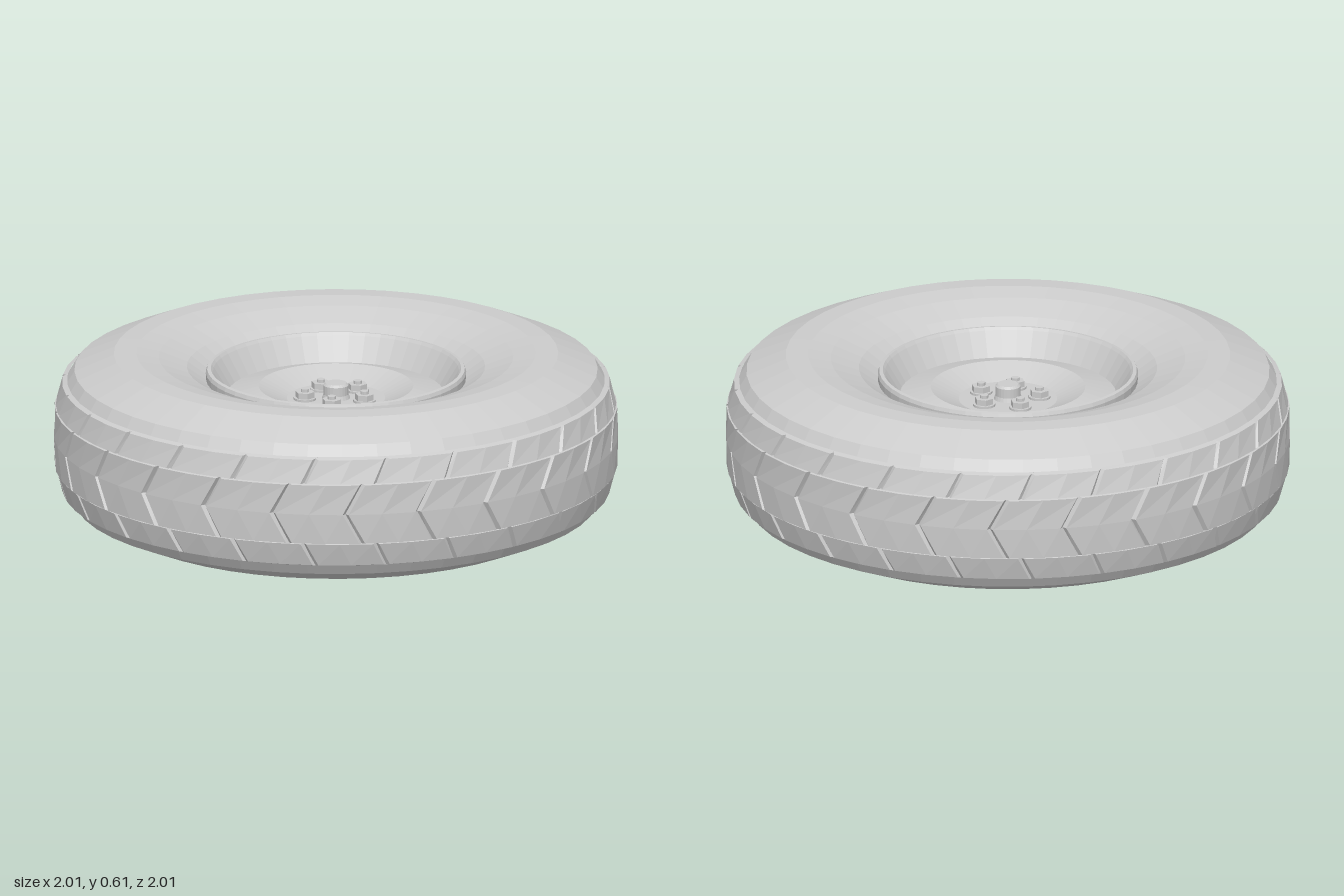
import * as THREE from 'three';

const MID = 0.305; // height of the wheel's middle plane
const BLOCKS = 24; // tread blocks per row
const PITCH = (Math.PI * 2) / BLOCKS;

const material = new THREE.MeshStandardMaterial({ color: 0xcccccc, flatShading: true });

function addMesh(parent, name, geometry) {
  const mesh = new THREE.Mesh(geometry, material);
  mesh.name = name;
  parent.add(mesh);
  return mesh;
}

function lathe(points, segments) {
  return new THREE.LatheGeometry(points.map(([r, y]) => new THREE.Vector2(r, y)), segments);
}

// One row of raised blocks. Each level is [height, top radius, base radius, angular shift], from low to high.
function treadRow(levels, start) {
  const positions = [];
  const at = (angle, y, r) => [r * Math.sin(angle), y, r * Math.cos(angle)];
  const quad = (a, b, c, d) => positions.push(...a, ...b, ...c, ...a, ...c, ...d);
  const columns = [0, 0.5, 1];
  const width = PITCH * 0.92;
  const last = levels.length - 1;

  for (let i = 0; i < BLOCKS; i++) {
    const origin = start + i * PITCH;
    const top = (l, c) => at(origin + levels[l][3] + columns[c] * width, levels[l][0], levels[l][1]);
    // the foot spreads outwards so the block sides slope
    const foot = (l, c) => {
      const dy = l === 0 ? -0.006 : l === last ? 0.006 : 0;
      return at(origin + levels[l][3] + columns[c] * width + (c - 1) * 0.018, levels[l][0] + dy, levels[l][2]);
    };
    for (let l = 0; l < last; l++) {
      for (let c = 0; c < 2; c++) quad(top(l, c), top(l, c + 1), top(l + 1, c + 1), top(l + 1, c));
      quad(foot(l, 0), top(l, 0), top(l + 1, 0), foot(l + 1, 0));
      quad(top(l, 2), foot(l, 2), foot(l + 1, 2), top(l + 1, 2));
    }
    for (let c = 0; c < 2; c++) {
      quad(foot(0, c), foot(0, c + 1), top(0, c + 1), top(0, c));
      quad(top(last, c), top(last, c + 1), foot(last, c + 1), foot(last, c));
    }
  }
  const geometry = new THREE.BufferGeometry();
  geometry.setAttribute('position', new THREE.Float32BufferAttribute(positions, 3));
  geometry.computeVertexNormals();
  return geometry;
}

export function createModel() {
  const wheel = new THREE.Group();
  wheel.name = 'wheel';

  // Tyre carcass: upper half profile, mirrored about the middle plane
  const upper = [
    [0.978, 0.1], [0.958, 0.195], [0.93, 0.24], [0.79, 0.3], [0.71, 0.303],
    [0.63, 0.288], [0.53, 0.252], [0.455, 0.2],
  ];
  const carcass = [
    ...upper.map(([r, y]) => [r, MID - y]).reverse(),
    ...upper.map(([r, y]) => [r, MID + y]),
  ];
  addMesh(wheel, 'tyre', lathe(carcass, 48));

  // Tread: arrow-shaped centre blocks and slanted shoulder blocks
  const tread = new THREE.Group();
  tread.name = 'tread';
  wheel.add(tread);
  const slant = 0.06;
  addMesh(tread, 'centreBlocks', treadRow([
    [MID - 0.108, 1, 0.977, slant], [MID, 1.003, 0.977, 0], [MID + 0.108, 1, 0.977, slant],
  ], 0.02));
  const shoulder = [[0.112, 0.996, 0.976, 0], [0.195, 0.974, 0.956, slant * 0.7]];
  const place = (sign) => shoulder.map(([y, ...rest]) => [MID + sign * y, ...rest]);
  addMesh(tread, 'upperShoulderBlocks', treadRow(place(1), PITCH / 2));
  addMesh(tread, 'lowerShoulderBlocks', treadRow(place(-1).reverse(), PITCH / 2));

  // Rim: hollow back, rolled lips and dished face
  addMesh(wheel, 'rim', lathe([
    [0, 0.29], [0.385, 0.29], [0.385, 0.19], [0.437, 0.07], [0.445, 0.06], [0.458, 0.062], [0.463, 0.075],
    [0.46, 0.13], [0.46, 0.48], [0.463, 0.535], [0.458, 0.548], [0.445, 0.55], [0.437, 0.54],
    [0.385, 0.455], [0.275, 0.485], [0.175, 0.44], [0, 0.44],
  ], 48));

  // Hub cap
  addMesh(wheel, 'hubCap', lathe([
    [0.052, 0.435], [0.045, 0.455], [0.045, 0.488], [0.037, 0.496], [0, 0.496],
  ], 24));

  // Five wheel nuts with washers and studs
  const nutParts = [
    ['washer', 0.04, 0.008, 16, 0.444],
    ['nut', 0.034, 0.022, 6, 0.458],
    ['stud', 0.015, 0.012, 10, 0.474],
  ];
  for (let i = 0; i < 5; i++) {
    const angle = Math.PI + (i * Math.PI * 2) / 5;
    const nut = new THREE.Group();
    nut.name = 'wheelNut';
    nut.position.set(0.112 * Math.sin(angle), 0, 0.112 * Math.cos(angle));
    for (const [name, r, h, sides, y] of nutParts) {
      addMesh(nut, name, new THREE.CylinderGeometry(r, r, h, sides)).position.y = y;
    }
    wheel.add(nut);
  }
  return wheel;
}
